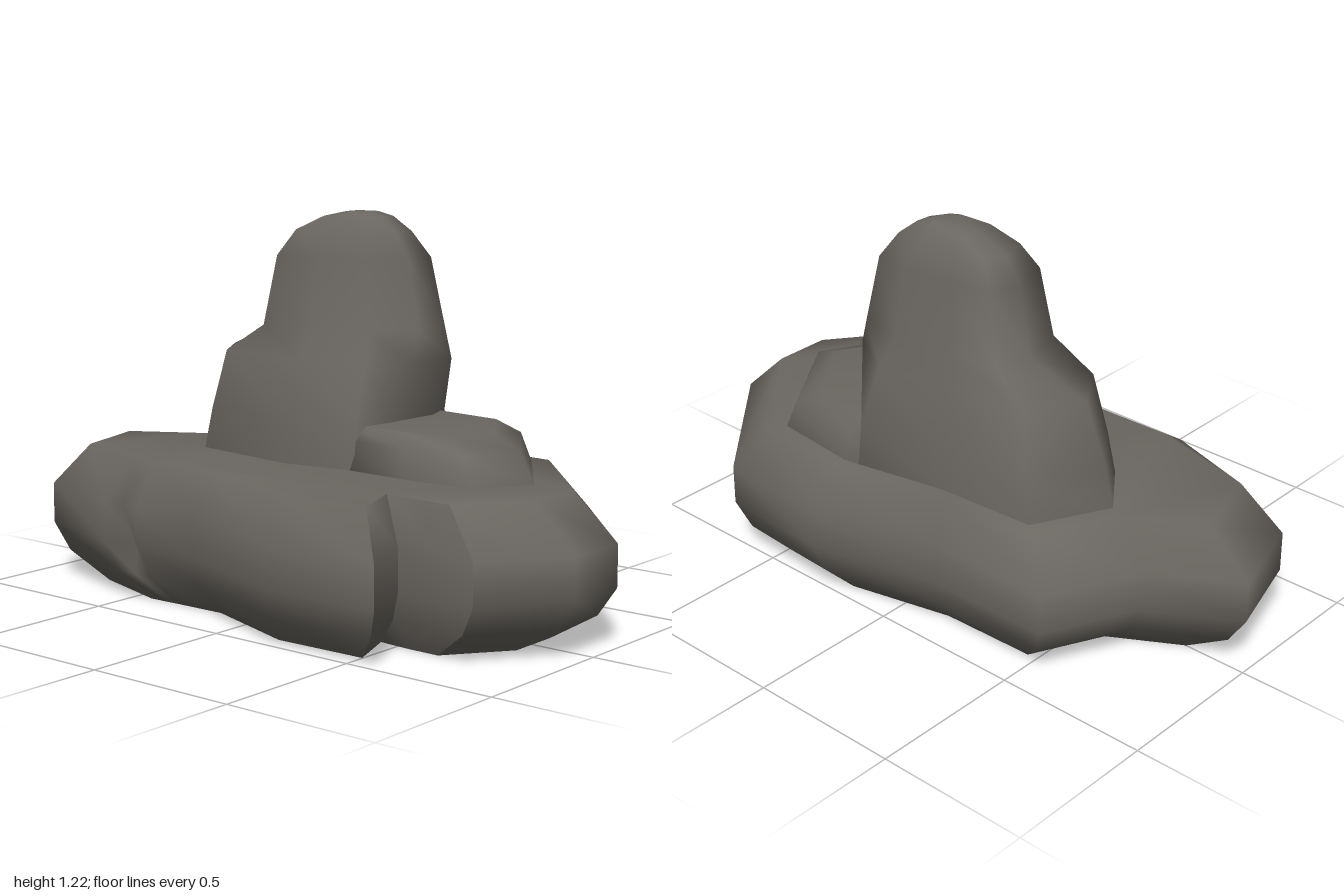
import * as THREE from 'three';

const stone = new THREE.MeshStandardMaterial({ color: 0x6a6660 });
stone.name = 'stone grey';

// Skins stacked rings of [x, y, z] points (clockwise seen from above), with caps.
// Columns listed in hard are split, so their vertical edge stays sharp.
function loft(name, rings, hard = [], capBottom = false) {
  const n = rings[0].length, pos = [], index = [];
  const first = [], last = [];
  rings.forEach((ring, r) => {
    first[r] = []; last[r] = [];
    ring.forEach((p, i) => {
      first[r][i] = last[r][i] = pos.length / 3;
      pos.push(...p);
      if (hard.includes(i)) {
        last[r][i] = pos.length / 3;
        pos.push(...p);
      }
    });
  });
  for (let r = 0; r + 1 < rings.length; r++) {
    for (let i = 0; i < n; i++) {
      const j = (i + 1) % n;
      const a = last[r][i], b = first[r][j], c = last[r + 1][i], d = first[r + 1][j];
      index.push(a, c, d, a, d, b);
    }
  }
  const cap = (r, up) => {
    const flat = rings[r].map(([x, , z]) => new THREE.Vector2(x, -z));
    for (const [a, b, c] of THREE.ShapeUtils.triangulateShape(flat, [])) {
      const ccw = THREE.ShapeUtils.area([flat[a], flat[b], flat[c]]) > 0;
      const tri = ccw === up ? [a, b, c] : [a, c, b];
      index.push(...tri.map((i) => first[r][i]));
    }
  };
  cap(rings.length - 1, true);
  if (capBottom) cap(0, false);
  const geometry = new THREE.BufferGeometry();
  geometry.setAttribute('position', new THREE.Float32BufferAttribute(pos, 3));
  geometry.setIndex(index);
  geometry.computeVertexNormals();
  const mesh = new THREE.Mesh(geometry, stone);
  mesh.name = name;
  return mesh;
}

// Ring at height y: the outline scaled about (cx, cz), then moved by dx
const ring = (outline, y, sx = 1, sz = sx, cx = 0, cz = 0, dx = 0) =>
  outline.map(([x, z]) => [cx + (x - cx) * sx + dx, y, cz + (z - cz) * sz]);

export function createModel() {
  const group = new THREE.Group();
  group.name = 'rock';

  // Broad base slab: one outline scaled by height, with a sharp notch at the front left
  const slab = [
    [-1, 0], [-0.73, -0.16], [-0.59, -0.45], [-0.19, -0.46], [0.24, -0.56], [0.62, -0.54],
    [1, -0.12], [1, 0.1], [0.82, 0.34], [0.7, 0.34], [0.55, 0.33], [0.63, 0.54], [0.24, 0.55],
    [-0.19, 0.4], [-0.42, 0.405], [-0.48, 0.408], [-0.56, 0.41], [-0.91, 0.3],
  ];
  const profile = [[0, 0.79], [0.09, 0.94], [0.18, 1], [0.31, 1], [0.45, 0.855]];
  const slabRings = profile.map(([y, s]) => ring(slab, y, s));
  slabRings[2][15][2] = 0.34; // small chip in the front face
  group.add(loft('baseSlab', slabRings, [8, 10, 11], true));

  // Tall peak: a wide foot, a shoulder, then a neck that rounds off to the crest
  const foot = [
    [-0.58, -0.11], [-0.46, -0.35], [-0.13, -0.37], [0.16, -0.43], [0.21, -0.3],
    [0.2, -0.1], [0.18, 0.07], [-0.07, 0.11], [-0.45, 0.06],
  ];
  const shoulder = [
    [-0.48, -0.12], [-0.4, -0.3], [-0.12, -0.33], [0.13, -0.36], [0.29, -0.27],
    [0.26, -0.1], [0.16, 0], [-0.06, 0.06], [-0.38, 0.03],
  ];
  const neck = [
    [-0.29, -0.15], [-0.25, -0.26], [-0.1, -0.29], [0.1, -0.32], [0.25, -0.29],
    [0.24, -0.17], [0.13, -0.06], [-0.05, 0], [-0.24, 0.01],
  ];
  const crest = [[1.08, 0.84, 0.85, 0], [1.16, 0.65, 0.6, 0], [1.205, 0.36, 0.42, 0.025], [1.22, 0.15, 0.25, 0.04]];
  group.add(loft('peak', [
    ring(foot, 0.45),
    ring(foot, 0.58, 0.95, 0.96, 0.05, -0.16),
    ring(shoulder, 0.77),
    ring(neck, 0.86),
    ...crest.map(([y, sx, sz, dx]) => ring(neck, y, sx, sz, -0.02, -0.16, dx)),
  ]));

  // Low ledge beside the peak
  const ledge = [
    [0.08, -0.41], [0.21, -0.44], [0.5, -0.41], [0.72, -0.1], [0.62, 0.07], [0.38, 0.08], [0.08, 0.07],
  ];
  group.add(loft('ledge', [
    ring(ledge, 0.45),
    ring(ledge, 0.54, 0.92, 0.95, 0.08, -0.17),
    ring(ledge, 0.58, 0.77, 0.76, 0.08, -0.17),
  ]));

  return group;
}
